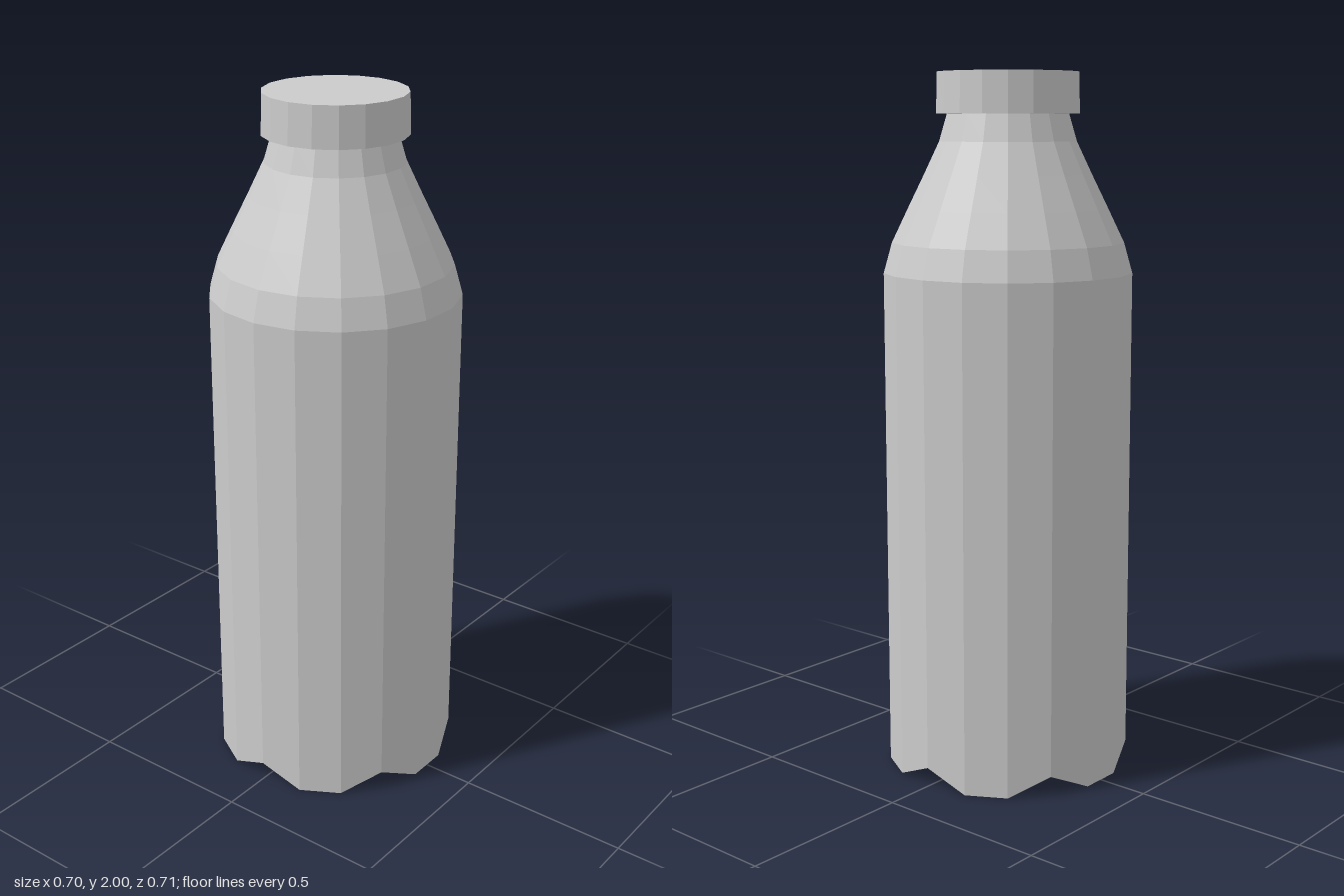
import * as THREE from 'three';

const SIDES = 18;

function lathe(profile) {
  return new THREE.LatheGeometry(profile.map(([r, y]) => new THREE.Vector2(r, y)), SIDES);
}

export function createModel() {
  const group = new THREE.Group();
  const material = new THREE.MeshStandardMaterial({ color: 0xcccccc, flatShading: true });

  function add(name, geometry) {
    const mesh = new THREE.Mesh(geometry, material);
    mesh.name = name;
    group.add(mesh);
  }

  // Bottle: recessed base, foot rim, straight wall, rounded shoulder and neck
  const profile = [
    [0, 0.058], [0.27, 0.058],
    [0.285, 0], [0.355, 0],
    [0.355, 1.445], [0.331, 1.53], [0.285, 1.625], [0.238, 1.72], [0.195, 1.81],
    [0.173, 1.885], [0.173, 1.9],
  ];
  const bottle = lathe(profile);

  // Raise every third corner of the foot rim to cut six notches
  const pos = bottle.attributes.position;
  for (let i = 0; i <= SIDES; i += 3) {
    for (const ring of [2, 3]) pos.setY(i * profile.length + ring, 0.055);
  }
  bottle.computeVertexNormals();
  add('bottle', bottle);

  // Screw cap, closed above and below, narrowing slightly to the top
  add('cap', lathe([[0, 1.886], [0.203, 1.886], [0.2, 2], [0, 2]]));

  return group;
}
